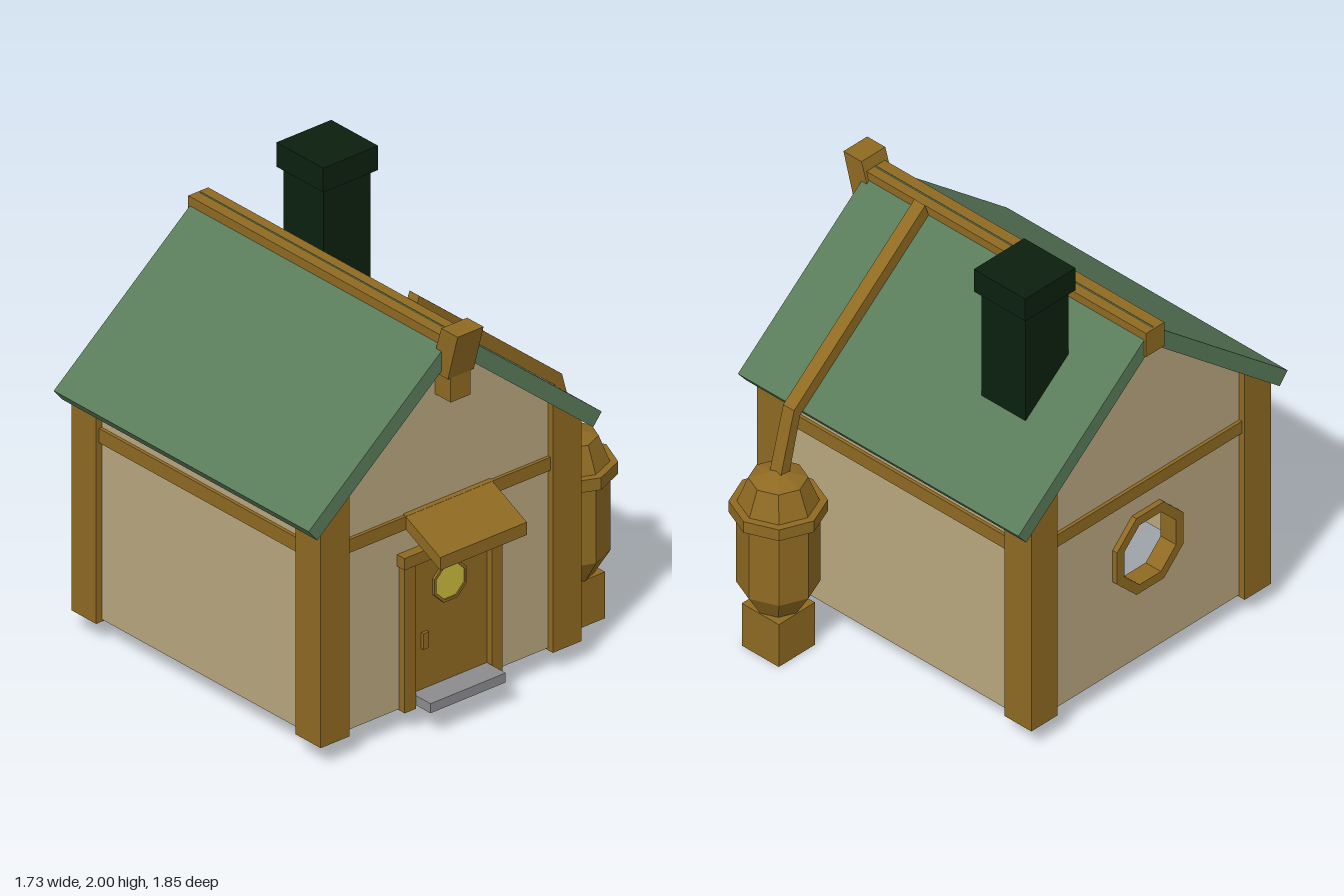
import * as THREE from 'three';

const material = (name, color) => {
  const m = new THREE.MeshStandardMaterial({ color, flatShading: true });
  m.name = name;
  return m;
};

export function createModel() {
  const house = new THREE.Group();
  house.name = 'cottage';
  const wood = material('wood', 0x8f6a22);
  const plaster = material('plaster', 0xb8a67e);
  const green = material('roofGreen', 0x5a7c5a);
  const soot = material('chimneyDark', 0x0b200e);
  const glass = material('yellowGlass', 0xcbbb3e);
  const stone = material('stone', 0x8c8c8e);

  const add = (name, geometry, mat) => {
    const mesh = new THREE.Mesh(geometry, mat);
    mesh.name = name;
    house.add(mesh);
    return mesh;
  };
  // box given by its limits on each axis
  const box = (name, mat, x0, x1, y0, y1, z0, z1) =>
    add(name, new THREE.BoxGeometry(x1 - x0, y1 - y0, z1 - z0)
      .translate((x0 + x1) / 2, (y0 + y1) / 2, (z0 + z1) / 2), mat);
  const extrude = (shape, depth) =>
    new THREE.ExtrudeGeometry(shape, { depth, bevelEnabled: false });
  // outline in (z, y), extruded along x
  const outline = (pts) => new THREE.Shape(pts.map(([z, y]) => new THREE.Vector2(-z, y)));
  const alongX = (name, mat, shape, x0, x1) =>
    add(name, extrude(shape, x1 - x0).rotateY(Math.PI / 2).translate(x0, 0, 0), mat);
  // outline in (x, y), extruded along z
  const alongZ = (name, mat, pts, z0, z1) =>
    add(name, extrude(new THREE.Shape(pts.map((p) => new THREE.Vector2(...p))), z1 - z0)
      .translate(0, 0, z0), mat);
  const octagon = (z, y, r, Type = THREE.Shape) => {
    const pts = [];
    for (let i = 0; i < 8; i++) {
      const a = ((i + 0.5) * Math.PI) / 4;
      pts.push(new THREE.Vector2(-z + r * Math.cos(a), y + r * Math.sin(a)));
    }
    return new Type(pts);
  };

  const midZ = 0.155;
  const under = (z) => 1.65 - 0.82 * Math.abs(z - midZ); // underside of the roof

  // corner posts with tops cut to the roof slope
  for (const [z0, z1] of [[0.69, 0.84], [-0.53, -0.38]]) {
    for (const [x0, x1] of [[-0.85, -0.7], [0.515, 0.67]]) {
      alongX('cornerPost', wood,
        outline([[z0, 0.09], [z1, 0.09], [z1, under(z1)], [z0, under(z0)]]), x0, x1);
    }
  }

  // gable walls, the one on the right side with a round opening
  const gable = () => outline([[-0.5, 0.1], [0.81, 0.1], [0.81, under(0.81)],
    [midZ, under(midZ)], [-0.5, under(-0.5)]]);
  alongX('doorWall', plaster, gable(), 0.61, 0.64);
  const windowWall = gable();
  windowWall.holes.push(octagon(midZ, 0.63, 0.17, THREE.Path));
  alongX('windowWall', plaster, windowWall, -0.82, -0.79);
  box('frontWall', plaster, -0.82, 0.64, 0.1, 1.11, 0.78, 0.81);
  box('backWall', plaster, -0.82, 0.64, 0.1, 1.11, -0.5, -0.47);

  // cross beams
  box('frontBeam', wood, -0.72, 0.54, 0.905, 0.97, 0.71, 0.825);
  box('backBeam', wood, -0.72, 0.54, 0.905, 0.97, -0.515, -0.4);
  box('doorSideBeam', wood, 0.54, 0.655, 0.91, 0.97, -0.4, 0.71);
  box('windowSideBeam', wood, -0.835, -0.72, 0.91, 0.97, -0.4, 0.71);

  // open round window frame
  const frame = octagon(midZ, 0.63, 0.205);
  frame.holes.push(octagon(midZ, 0.63, 0.16, THREE.Path));
  alongX('roundWindowFrame', wood, frame, -0.845, -0.76);

  // roof, ridge beam and carved ridge end
  alongX('roof', green, outline([[midZ, 1.74], [0.925, 1.11], [0.88, 1.055],
    [midZ, 1.65], [-0.57, 1.055], [-0.615, 1.11]]), -0.86, 0.695);
  box('ridgeBeam', wood, -0.87, 0.685, 1.62, 1.737, 0.105, 0.21);
  alongZ('ridgeEnd', wood, [[0.665, 1.57], [0.735, 1.57], [0.795, 1.785],
    [0.695, 1.785], [0.665, 1.69]], 0.092, 0.228);
  box('ridgeEndPeg', wood, 0.63, 0.735, 1.46, 1.575, 0.11, 0.213);

  // chimney
  box('chimney', soot, -0.59, -0.345, 1.32, 1.9, -0.295, -0.05);
  box('chimneyCap', soot, -0.61, -0.325, 1.89, 2, -0.318, -0.03);

  // door with frame, glass, handle, step and awning
  box('door', wood, 0.6, 0.65, 0.1, 0.75, -0.05, 0.345);
  box('doorJamb', wood, 0.6, 0.675, 0.095, 0.755, 0.345, 0.403);
  box('doorJamb', wood, 0.6, 0.675, 0.095, 0.755, -0.11, -0.055);
  box('doorLintel', wood, 0.6, 0.685, 0.75, 0.803, -0.123, 0.413);
  alongX('doorGlass', glass, octagon(0.15, 0.6, 0.083), 0.595, 0.656);
  const glassRim = octagon(0.15, 0.6, 0.093);
  glassRim.holes.push(octagon(0.15, 0.6, 0.08, THREE.Path));
  alongX('doorGlassRim', wood, glassRim, 0.645, 0.662);
  box('doorHandle', wood, 0.645, 0.664, 0.34, 0.412, 0.265, 0.295);
  box('doorStep', stone, 0.63, 0.765, 0.112, 0.155, -0.05, 0.345);
  alongZ('awning', wood, [[0.63, 0.923], [0.865, 0.812], [0.865, 0.87], [0.63, 0.981]],
    -0.075, 0.38);

  // gutter pipe running down the back slope into the barrel
  alongX('gutterPipe', wood, outline([[0.105, 1.7], [0.085, 1.758], [-0.665, 1.14],
    [-0.748, 0.83], [-0.695, 0.83], [-0.63, 1.1]]), 0.335, 0.395);

  // eight-sided water barrel on a block
  const profile = [[0, 0.2], [0.1, 0.205], [0.168, 0.315], [0.168, 0.66], [0.198, 0.66],
    [0.198, 0.715], [0.165, 0.715], [0.12, 0.83], [0, 0.868]];
  add('waterBarrel', new THREE.LatheGeometry(
    profile.map((p) => new THREE.Vector2(...p)), 8).translate(0.362, 0, -0.728), wood);
  box('barrelBlock', wood, 0.255, 0.46, 0, 0.21, -0.835, -0.628);

  return house;
}
